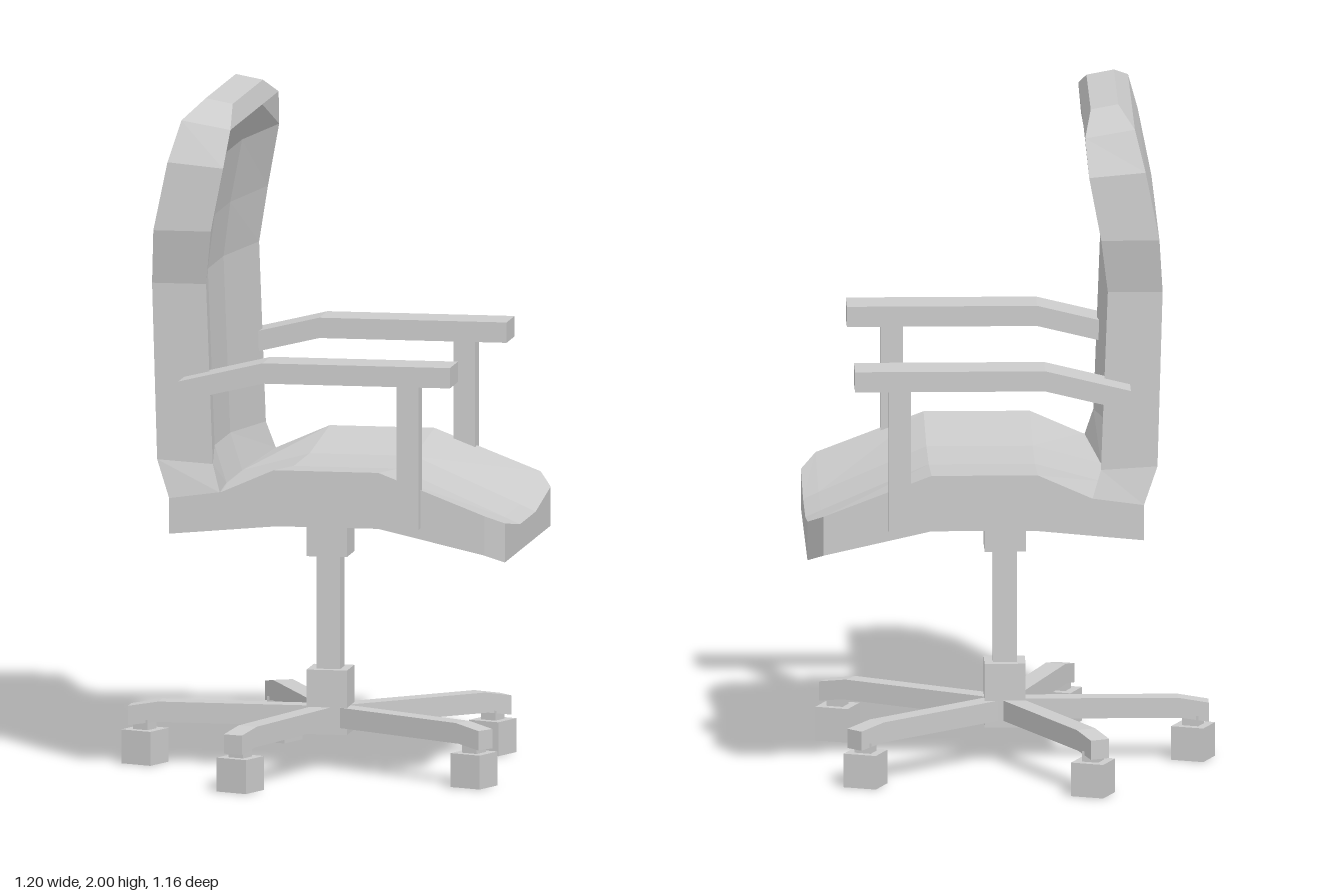
import * as THREE from 'three';

const material = new THREE.MeshStandardMaterial({ color: 0xcccccc, flatShading: true, side: THREE.DoubleSide });

function add(parent, geometry, name, x = 0, y = 0, z = 0) {
  const mesh = new THREE.Mesh(geometry, material);
  mesh.name = name;
  mesh.position.set(x, y, z);
  parent.add(mesh);
  return mesh;
}

// Box given by its bottom height, top height and footprint
function post(parent, name, x, z, w, d, y0, y1) {
  return add(parent, new THREE.BoxGeometry(w, y1 - y0, d), name, x, (y0 + y1) / 2, z);
}

// Side profile in x/y, extruded along z and centred on z = 0
function slab(points, width) {
  const shape = new THREE.Shape(points.map(([x, y]) => new THREE.Vector2(x, y)));
  return new THREE.ExtrudeGeometry(shape, { depth: width, bevelEnabled: false }).translate(0, 0, -width / 2);
}

// Shell stations from the top of the back to the nose of the seat:
// outer x, y, inner x, y, half width, hollow dx, dy, lift of the outer corners
const stations = [
  [-0.31, 2.0, -0.23, 1.985, 0.25, 0, 0, 0],
  [-0.355, 1.955, -0.21, 1.93, 0.4, 0, 0, 0],
  [-0.385, 1.84, -0.22, 1.825, 0.465, -0.05, 0, 0],
  [-0.425, 1.64, -0.255, 1.64, 0.475, -0.05, 0, 0],
  [-0.435, 1.48, -0.275, 1.48, 0.44, -0.05, 0, 0],
  [-0.42, 0.96, -0.255, 0.95, 0.44, -0.05, 0.01, 0],
  [-0.38, 0.85, -0.23, 0.87, 0.465, -0.04, -0.02, 0],
  [-0.38, 0.745, -0.225, 0.872, 0.465, -0.04, -0.02, 0],
  [-0.06, 0.775, -0.07, 0.94, 0.465, 0, -0.035, 0],
  [0.24, 0.775, 0.24, 0.94, 0.465, 0, -0.035, 0],
  [0.555, 0.686, 0.555, 0.82, 0.465, 0, -0.05, 0.018],
  [0.6, 0.673, 0.6, 0.788, 0.38, 0, -0.038, 0],
];

// Loft of eight-point sections: four on the outer side, four on the hollowed inner side
function shellGeometry() {
  const positions = [], index = [], mid = 0.13, n = 8;
  for (const [ox, oy, ix, iy, w, dx, dy, lift] of stations) {
    positions.push(ox, oy + lift, -w, ox, oy, -mid, ox, oy, mid, ox, oy + lift, w);
    positions.push(ix, iy, w, ix + dx, iy + dy, mid, ix + dx, iy + dy, -mid, ix, iy, -w);
  }
  const quad = (a, b, c, d) => index.push(a, b, c, a, c, d);
  const last = (stations.length - 1) * n;
  for (let s = 0; s < last; s += n) {
    for (let i = 0; i < n; i++) {
      const j = (i + 1) % n;
      quad(s + i, s + n + i, s + n + j, s + j);
    }
  }
  for (let k = 0; k < 3; k++) {
    quad(k, k + 1, 6 - k, 7 - k);
    quad(last + 7 - k, last + 6 - k, last + k + 1, last + k);
  }
  const geometry = new THREE.BufferGeometry();
  geometry.setAttribute('position', new THREE.Float32BufferAttribute(positions, 3));
  geometry.setIndex(index);
  const flat = geometry.toNonIndexed();
  flat.computeVertexNormals();
  return flat;
}

export function createModel() {
  const chair = new THREE.Group();
  chair.name = 'officeChair';

  add(chair, shellGeometry(), 'seatAndBack');

  // Armrests and their supports
  const armProfile = [[-0.34, 1.145], [-0.09, 1.205], [0.465, 1.205], [0.465, 1.265], [-0.09, 1.265], [-0.34, 1.205]];
  for (const side of [1, -1]) {
    const name = side > 0 ? 'left' : 'right';
    add(chair, slab(armProfile, 0.135), name + 'Armrest', 0, 0, side * 0.47);
    post(chair, name + 'ArmSupport', 0.333, side * 0.47, 0.065, 0.06, 0.78, 1.206);
  }

  // Central column
  const cx = 0.015;
  post(chair, 'seatMount', cx, 0, 0.12, 0.13, 0.63, 0.785);
  post(chair, 'column', cx, 0, 0.07, 0.07, 0.29, 0.64);
  post(chair, 'hub', cx, 0, 0.12, 0.12, 0.105, 0.295);

  // Five legs, each with a pin and a block caster
  const casters = [[-0.535, 0], [-0.16, 0.515], [-0.23, -0.515], [0.495, 0.305], [0.43, -0.37]];
  for (const [x, z] of casters) {
    const r = Math.hypot(x - cx, z), end = r + 0.045;
    const legProfile = [[0, 0.125], [end - 0.08, 0.125], [end, 0.113], [end, 0.17], [end - 0.09, 0.185], [0, 0.185]];
    const leg = add(chair, slab(legProfile, 0.06), 'leg', cx, 0, 0);
    leg.rotation.y = -Math.atan2(z, x - cx);
    post(chair, 'casterPin', x, z, 0.05, 0.05, 0.095, 0.13).rotation.y = -0.38;
    post(chair, 'caster', x, z, 0.1, 0.1, 0, 0.1).rotation.y = -0.38;
  }
  return chair;
}
